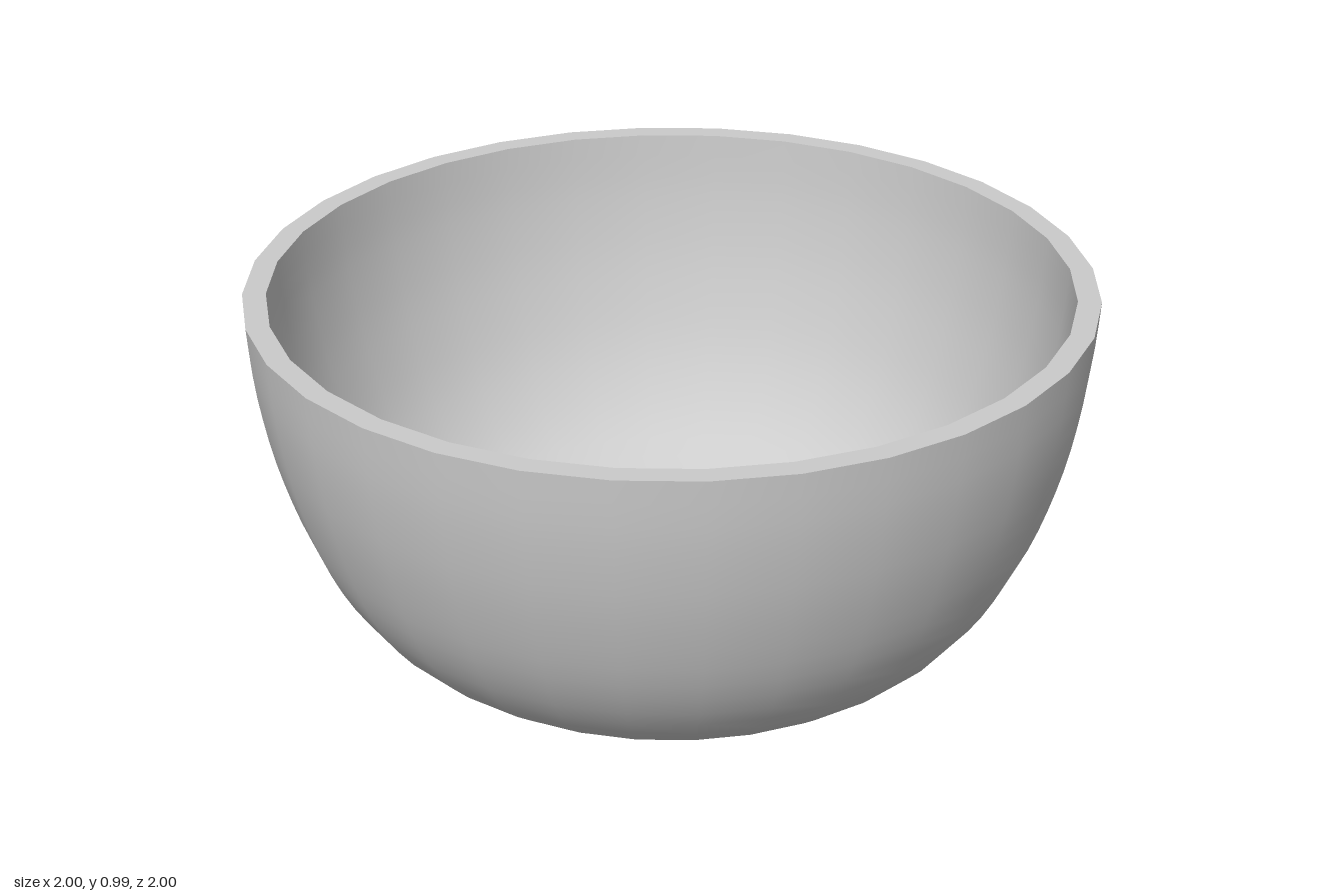
import * as THREE from 'three';

const SEGMENTS = 32;
const WALL = 0.055;

export function createModel() {
  const group = new THREE.Group();
  group.name = 'bowl';
  const material = new THREE.MeshStandardMaterial({ color: 0xcccccc });

  // Outer profile from the centre of the base up to the rim
  const curve = new THREE.SplineCurve([
    [0, 0], [0.15, 0.002], [0.3, 0.013], [0.46, 0.042], [0.6, 0.1], [0.75, 0.208],
    [0.865, 0.38], [0.943, 0.6], [0.985, 0.81], [1, 0.985],
  ].map(([x, y]) => new THREE.Vector2(x, y)));
  const steps = 28;
  const outer = curve.getSpacedPoints(steps);

  // Inner profile: the outer one moved inward by the wall thickness
  const inner = outer.map((p, i) => {
    if (i === 0) return new THREE.Vector2(0, WALL);
    if (i === steps) return new THREE.Vector2(p.x - WALL, p.y);
    const t = curve.getTangentAt(i / steps);
    return new THREE.Vector2(p.x - t.y * WALL, p.y + t.x * WALL);
  });

  const addSurface = (name, profile) => {
    const mesh = new THREE.Mesh(new THREE.LatheGeometry(profile, SEGMENTS), material);
    mesh.name = name;
    group.add(mesh);
  };

  // Separate surfaces keep the rim edges sharp
  addSurface('outerWall', outer);
  addSurface('rim', [outer[steps], inner[steps]]);
  addSurface('innerWall', inner.slice().reverse());

  return group;
}
